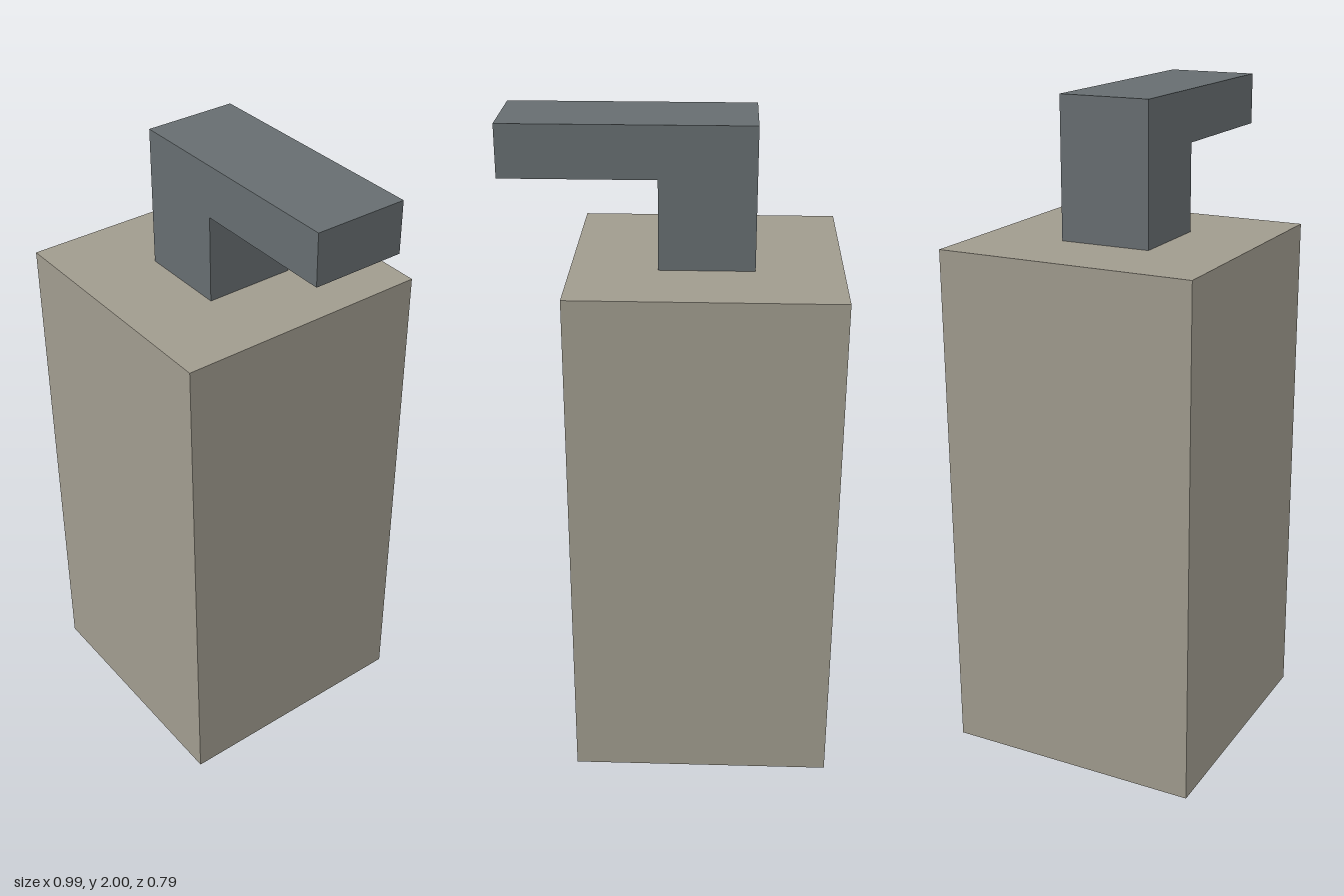
import * as THREE from 'three';

export function createModel() {
  const model = new THREE.Group();
  model.name = 'pumpBottle';

  const add = (name, geometry, color) => {
    const material = new THREE.MeshStandardMaterial({ color, flatShading: true });
    const mesh = new THREE.Mesh(geometry, material);
    mesh.name = name;
    model.add(mesh);
    return mesh;
  };

  // Square bottle, set off-centre so the spout overhangs on +x
  const bodyHeight = 1.58;
  add('bottleBody', new THREE.BoxGeometry(0.79, bodyHeight, 0.79), 0xa09b8e)
    .position.set(-0.1, bodyHeight / 2, 0);

  // Pump head: stem and spout as one L-shaped profile
  const left = -0.24, stemRight = 0.04, tip = 0.495, spoutBottom = 1.845, top = 2;
  const profile = new THREE.Shape([
    [left, bodyHeight], [stemRight, bodyHeight], [stemRight, spoutBottom],
    [tip, spoutBottom], [tip, top], [left, top],
  ].map(([x, y]) => new THREE.Vector2(x, y)));
  const depth = 0.28;
  add('pumpHead', new THREE.ExtrudeGeometry(profile, { depth, bevelEnabled: false }), 0x666d70)
    .position.z = -depth / 2;

  return model;
}
